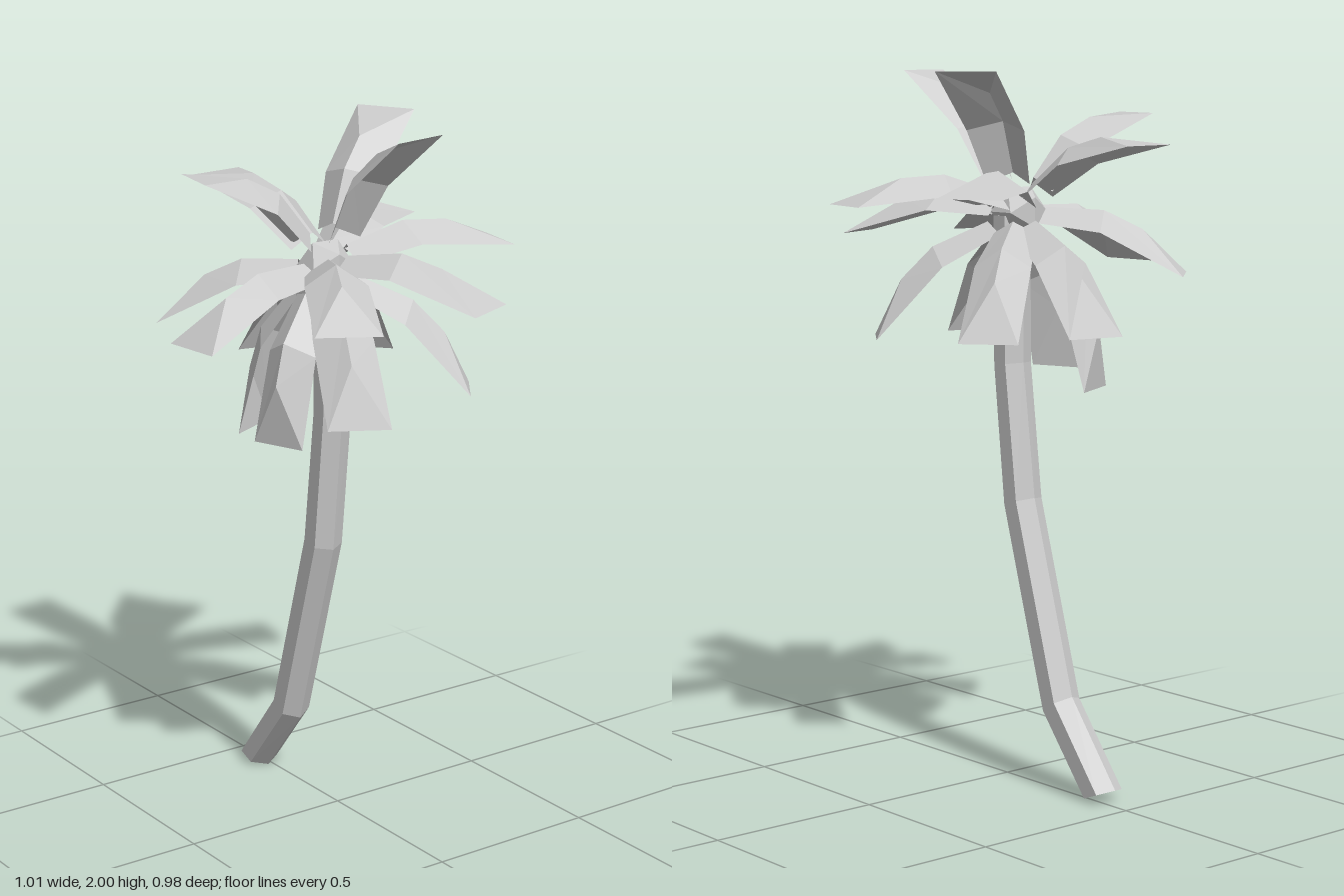
import * as THREE from 'three';

const material = new THREE.MeshStandardMaterial({ color: 0xcccccc, flatShading: true, side: THREE.DoubleSide });
const V = (x, y, z) => new THREE.Vector3(x, y, z);

function meshFrom(points, faces, name) {
  const geometry = new THREE.BufferGeometry();
  geometry.setAttribute('position', new THREE.Float32BufferAttribute(points.flatMap(p => p.toArray()), 3));
  geometry.setIndex(faces);
  const flat = geometry.toNonIndexed();
  flat.computeVertexNormals();
  const mesh = new THREE.Mesh(flat, material);
  mesh.name = name;
  return mesh;
}

// Bent six-sided trunk: each ring is centre y, centre z, and the tilted half-width (dy, dz)
function makeTrunk() {
  const rings = [
    [0.02, -0.39, -0.02, 0.05],
    [0.24, -0.215, -0.03, 0.046],
    [0.797, -0.05, -0.015, 0.05],
    [1.185, -0.005, -0.005, 0.047],
    [1.6, -0.003, 0, 0.047],
  ];
  const points = [], faces = [], n = 6;
  for (const [y, z, dy, dz] of rings)
    for (let i = 0; i < n; i++) {
      const a = (i / n) * Math.PI * 2;
      points.push(V(-0.015 + 0.055 * Math.sin(a), y + dy * Math.cos(a), z + dz * Math.cos(a)));
    }
  for (let r = 0; r < rings.length - 1; r++)
    for (let i = 0; i < n; i++) {
      const a = r * n + i, b = r * n + (i + 1) % n;
      faces.push(a, b, b + n, a, b + n, a + n);
    }
  // End caps
  const top = (rings.length - 1) * n;
  for (let i = 1; i < n - 1; i++) faces.push(0, i + 1, i, top, top + i, top + i + 1);
  return meshFrom(points, faces, 'trunk');
}

// Folded frond: two side panels along a raised spine, closed by a triangle at the tip
function makeFrond([x1, z1, x2, z2, tipY]) {
  const tipA = V(x1, tipY, z1), tipB = V(x2, tipY, z2);
  const tip = tipA.clone().add(tipB).multiplyScalar(0.5);
  const out = V(tip.x + 0.035, 0, tip.z + 0.01).normalize();
  const root = V(-0.035, 1.53 + (tipY - 1.12) * 0.19, -0.01).addScaledVector(out, 0.065);
  const side = tipB.clone().sub(tipA);
  const along = tip.clone().sub(root).normalize();
  const normal = along.clone().cross(side).normalize();
  if (normal.y < 0) normal.negate();
  const at = (t, s, lift) => root.clone().lerp(tip, t).addScaledVector(side, s).addScaledVector(normal, lift);
  const points = [
    at(0, -0.36, -0.01), at(0.4, -0.48, 0.03), tipA,
    at(0, 0, 0.035), at(0.36, 0, 0.085), at(0.64, 0, 0.075),
    at(0, 0.36, -0.01), at(0.4, 0.48, 0.03), tipB,
  ];
  return meshFrom(points, [
    0, 1, 4, 0, 4, 3, 1, 2, 5, 1, 5, 4,
    3, 4, 7, 3, 7, 6, 4, 5, 8, 4, 8, 7,
    2, 8, 5,
  ], 'frond');
}

export function createModel() {
  const model = new THREE.Group();
  model.name = 'palmTree';
  model.add(makeTrunk());

  // Faceted heart of the crown
  const heart = new THREE.Mesh(new THREE.IcosahedronGeometry(0.08, 0), material);
  heart.name = 'crownHeart';
  heart.position.set(-0.035, 1.61, -0.01);
  model.add(heart);

  // Frond tips: two corners (x, z, x, z) and their height
  const upper = [
    [-0.175, -0.47, 0, -0.49, 1.805],
    [0.12, 0.31, -0.055, 0.35, 2],
    [0.23, -0.225, 0.31, -0.065, 2],
    [-0.435, 0.01, -0.4, -0.165, 1.88],
  ];
  const middle = [
    [0.325, -0.365, 0.43, -0.215, 1.67],
    [0.505, 0.02, 0.47, 0.195, 1.64],
    [-0.4, -0.305, -0.27, -0.425, 1.44],
    [-0.495, 0.125, -0.51, -0.055, 1.45],
    [-0.19, 0.47, -0.345, 0.38, 1.53],
    [0.265, 0.41, 0.1, 0.485, 1.54],
  ];
  const lower = [
    [0.335, 0.165, 0.24, 0.295, 1.26],
    [-0.09, 0.375, -0.24, 0.29, 1.24],
    [-0.225, 0.15, -0.28, 0, 1.15],
    [-0.22, -0.17, -0.065, -0.25, 1.12],
    [-0.06, -0.41, 0.105, -0.38, 1.29],
    [0.23, -0.315, 0.335, -0.19, 1.28],
  ];
  for (const [name, tips] of Object.entries({ upper, middle, lower })) {
    const tier = new THREE.Group();
    tier.name = name + 'Fronds';
    tips.forEach(t => tier.add(makeFrond(t)));
    model.add(tier);
  }
  return model;
}
